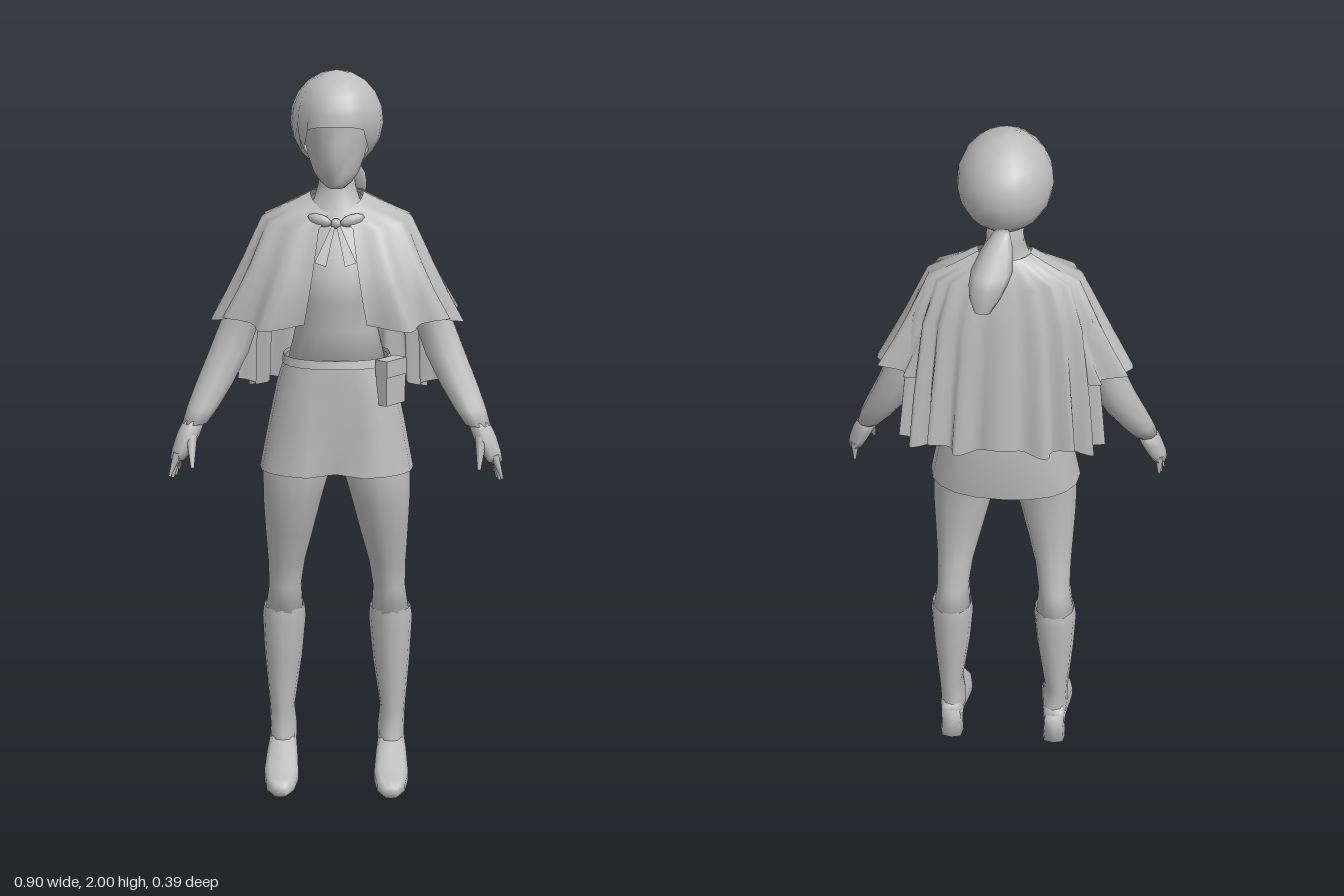
import * as THREE from 'three';

const grey = new THREE.MeshStandardMaterial({ color: 0xbcbcbc, side: THREE.DoubleSide });
grey.name = 'grey';

function named(name, geometry) {
  const m = new THREE.Mesh(geometry, grey);
  m.name = name;
  return m;
}

// Smooth grid surface: f(i, j) gives a point, i runs around and j runs down
function grid(nu, nv, closed, f, capped = false) {
  const pos = [], idx = [], cols = closed ? nu : nu + 1;
  for (let j = 0; j <= nv; j++) for (let i = 0; i < cols; i++) pos.push(...f(i, j));
  for (let j = 0; j < nv; j++) for (let i = 0; i < nu; i++) {
    const k = (i + 1) % cols, a = j * cols + i, b = j * cols + k;
    idx.push(a, a + cols, b, b, a + cols, b + cols);
  }
  if (capped) for (const j of [0, nv]) {
    const c = [0, 0, 0], mid = pos.length / 3;
    for (let i = 0; i < cols; i++) for (let d = 0; d < 3; d++) c[d] += pos[(j * cols + i) * 3 + d] / cols;
    pos.push(...c);
    for (let i = 0; i < nu; i++) {
      const a = j * cols + i, b = j * cols + (i + 1) % cols;
      idx.push(mid, j ? b : a, j ? a : b);
    }
  }
  const g = new THREE.BufferGeometry();
  g.setAttribute('position', new THREE.Float32BufferAttribute(pos, 3));
  g.setIndex(idx);
  g.computeVertexNormals();
  return g;
}

const pw = (v, e) => Math.sign(v) * Math.abs(v) ** e;

// Point on the rounded outline of a row [y, x0, x1, zBack, zFront]
function outline([y, x0, x1, zb, zf], a, e = 1) {
  return [(x0 + x1) / 2 + (x1 - x0) / 2 * pw(Math.sin(a), e), y,
    (zb + zf) / 2 + (zf - zb) / 2 * pw(Math.cos(a), e)];
}

// Closed body through rows listed from top to bottom
function loft(rows, { n = 14, e = 1, cap = true, warp = p => p } = {}) {
  return grid(n, rows.length - 1, true,
    (i, j) => warp(outline(rows[j], i / n * Math.PI * 2, e), i, j), cap);
}

const even = rows => rows.map(([y, r, zb, zf]) => [y, -r, r, zb, zf]);

function cone(a, b, r, tip = 0.3) {
  const p = new THREE.Vector3(...a), q = new THREE.Vector3(...b), d = q.clone().sub(p);
  const g = new THREE.CylinderGeometry(r * tip, r, d.length(), 6);
  g.applyQuaternion(new THREE.Quaternion().setFromUnitVectors(new THREE.Vector3(0, 1, 0), d.normalize()));
  return g.translate(...p.add(q).multiplyScalar(0.5).toArray());
}

// Pleated cloth from the shoulders between two angles; the sides sweep back towards the hem
function drape(rows, from, to, n, { pleats, amp, sweep = 0 }) {
  const last = rows.length - 1, body = even(rows);
  return grid(n, last, false, (i, j) => {
    const a = from + (to - from) * i / n, t = j / last, w = t ** 1.5;
    const [x, y, z] = outline(body[j], a, 0.9 - 0.15 * t);
    const fold = 1 + amp * w * Math.cos(a * pleats);
    const front = Math.max(0, Math.cos(a)) * (1 - t);
    return [x * fold, y - front * 0.04 + w * 0.012 * Math.cos(a * pleats * 0.5),
      z * fold - sweep * t * Math.sin(a) ** 4];
  });
}

function createHead() {
  const head = new THREE.Group();
  head.name = 'head';
  // Face with a raised nose at the front centre
  const face = even([[1.9, 0.09, -0.06, 0.165], [1.86, 0.092, -0.06, 0.168], [1.82, 0.085, -0.05, 0.16],
    [1.78, 0.075, -0.03, 0.162], [1.74, 0.06, 0.01, 0.157], [1.715, 0.042, 0.04, 0.152], [1.7, 0.022, 0.08, 0.14]]);
  head.add(named('face', loft(face, { n: 18, warp: (p, i, j) =>
    i === 0 && (j === 2 || j === 3) ? [p[0], p[1], p[2] + (j === 3 ? 0.022 : 0.008)] : p })));
  // Rounded hair, cut high over the face and low at the nape
  head.add(named('hair', grid(20, 8, true, (i, j) => {
    const a = i / 20 * Math.PI * 2, off = Math.min(a, Math.PI * 2 - a);
    const phi = (1.62 + 0.98 * THREE.MathUtils.smoothstep(off, 0.5, 1.35)) * j / 8;
    return [0.123 * Math.sin(phi) * Math.sin(a), 1.87 + 0.13 * Math.cos(phi), 0.044 + 0.145 * Math.sin(phi) * Math.cos(a)];
  })));
  head.add(named('ponytail', loft([[1.79, -0.02, 0.02, -0.1, -0.06], [1.75, -0.03, 0.05, -0.14, -0.055],
    [1.71, -0.033, 0.073, -0.185, -0.08], [1.68, -0.02, 0.077, -0.197, -0.11], [1.65, -0.005, 0.075, -0.198, -0.135],
    [1.62, 0.02, 0.06, -0.199, -0.185]], { n: 8 })));
  return head;
}

function createArm() {
  const arm = new THREE.Group();
  arm.name = 'arm';
  arm.add(named('sleeve', loft([[1.62, 0.1, 0.18, -0.03, 0.04], [1.56, 0.12, 0.225, -0.045, 0.06],
    [1.43, 0.165, 0.275, -0.04, 0.06], [1.32, 0.21, 0.32, -0.035, 0.06], [1.24, 0.238, 0.352, -0.025, 0.075],
    [1.16, 0.28, 0.385, 0, 0.1], [1.1, 0.318, 0.407, 0.032, 0.12], [1.06, 0.348, 0.418, 0.057, 0.135]], { n: 10 })));
  arm.add(named('palm', loft([[1.07, 0.355, 0.412, 0.06, 0.13], [1.03, 0.368, 0.432, 0.062, 0.15],
    [0.99, 0.39, 0.445, 0.068, 0.158], [0.965, 0.405, 0.45, 0.076, 0.154]], { n: 8 })));
  for (let i = 0; i < 4; i++) {
    const z = 0.085 + i * 0.02;
    arm.add(named('finger', cone([0.427, 0.985, z], [0.43 + 0.006 * i, 0.925 - 0.012 * Math.sin(i), z + 0.004 * i], 0.013)));
  }
  arm.add(named('thumb', cone([0.39, 1.03, 0.13], [0.385, 0.95, 0.17], 0.017)));
  return arm;
}

function createLeg() {
  const leg = new THREE.Group();
  leg.name = 'leg';
  leg.add(named('thigh', loft([[1.04, 0.015, 0.18, -0.06, 0.15], [0.92, 0.018, 0.203, -0.04, 0.152],
    [0.84, 0.04, 0.203, -0.038, 0.138], [0.74, 0.065, 0.198, -0.036, 0.11], [0.65, 0.088, 0.193, -0.045, 0.077],
    [0.57, 0.1, 0.192, -0.07, 0.06], [0.48, 0.095, 0.205, -0.085, 0.052]])));
  leg.add(named('bootShaft', loft([[0.505, 0.092, 0.207, -0.085, 0.054], [0.47, 0.089, 0.212, -0.09, 0.055],
    [0.35, 0.1, 0.206, -0.08, 0.048], [0.2, 0.122, 0.194, -0.067, 0.036], [0.14, 0.115, 0.192, -0.06, 0.042],
    [0.08, 0.117, 0.192, -0.073, 0.06]], { n: 12, cap: false })));
  // Foot rows run along z: z, half width, bottom, top
  const foot = [[0.192, 0.022, 0.004, 0.038], [0.165, 0.04, 0, 0.05], [0.11, 0.05, 0, 0.07],
    [0.05, 0.045, 0.015, 0.115], [-0.02, 0.037, 0.04, 0.15], [-0.066, 0.03, 0.05, 0.12]];
  leg.add(named('foot', grid(10, 5, true, (i, j) => {
    const a = i / 10 * Math.PI * 2, [z, w, b, t] = foot[j];
    return [0.155 + w * pw(Math.sin(a), 0.7), (b + t) / 2 - (t - b) / 2 * pw(Math.cos(a), 0.8), z];
  }, true)));
  leg.add(named('heel', loft([[0.1, 0.118, 0.191, -0.073, 0.02], [0.05, 0.123, 0.187, -0.076, 0],
    [0, 0.12, 0.19, -0.08, -0.005]], { n: 8, e: 0.6 })));
  return leg;
}

function createBow() {
  const bow = new THREE.Group();
  bow.name = 'neckBow';
  bow.add(named('knot', new THREE.SphereGeometry(0.014, 8, 6).translate(0, 1.607, 0.124)));
  for (const s of [-1, 1]) {
    const loop = new THREE.SphereGeometry(1, 8, 6).scale(0.034, 0.016, 0.012).rotateZ(s * 0.25).rotateY(s * 0.25);
    bow.add(named('bowLoop', loop.translate(s * 0.043, 1.615, 0.118)));
    const tail = [[0.002, 1.6, 0.132], [0.012, 1.6, 0.132], [0.025, 1.5, 0.174], [0.055, 1.51, 0.168]];
    bow.add(named('bowTail', grid(1, 1, false, (i, j) => {
      const [x, y, z] = tail[j * 2 + i];
      return [s * x, y, z];
    })));
  }
  return bow;
}

export function createModel() {
  const model = new THREE.Group();
  model.name = 'capedFigure';
  model.add(createHead(), createBow());

  model.add(named('torso', loft(even([[1.78, 0.045, -0.02, 0.08], [1.7, 0.05, -0.022, 0.09], [1.66, 0.062, -0.03, 0.098],
    [1.62, 0.11, -0.04, 0.112], [1.55, 0.135, -0.05, 0.142], [1.47, 0.132, -0.055, 0.176], [1.4, 0.12, -0.05, 0.178],
    [1.32, 0.112, -0.045, 0.162], [1.2, 0.14, -0.06, 0.16]]), { n: 18 })));

  // Shorts with a flared hem and a crease at the front
  const shorts = even([[1.24, 0.14, -0.06, 0.17], [1.17, 0.162, -0.075, 0.182], [1.06, 0.185, -0.09, 0.188],
    [0.93, 0.21, -0.075, 0.197]]);
  model.add(named('shorts', loft(shorts, { n: 20, e: 0.85, cap: false, warp: (p, i, j) =>
    i === 0 ? [p[0], p[1], p[2] - 0.015 * j] : p })));
  model.add(named('pelvis', loft(even([[1.1, 0.17, -0.07, 0.15], [1, 0.18, -0.07, 0.15], [0.94, 0.15, -0.05, 0.12]]))));
  model.add(named('belt', loft(even([[1.248, 0.144, -0.064, 0.174], [1.225, 0.148, -0.068, 0.179]]),
    { n: 20, e: 0.85, cap: false })));

  // Belt pouch with its flap
  const pouch = new THREE.Group();
  pouch.name = 'beltPouch';
  pouch.add(named('pouchBody', new THREE.BoxGeometry(0.08, 0.12, 0.035)));
  const flap = named('pouchFlap', new THREE.BoxGeometry(0.083, 0.045, 0.04));
  flap.position.y = 0.04;
  pouch.add(flap);
  pouch.position.set(0.147, 1.185, 0.132);
  pouch.rotation.y = 0.9;
  model.add(pouch);

  // Longer pleated panel behind the short cape
  model.add(named('backCape', drape([[1.682, 0.07, -0.04, 0.08], [1.655, 0.12, -0.055, 0.08], [1.615, 0.195, -0.07, 0.08],
    [1.5, 0.235, -0.095, 0.075], [1.3, 0.258, -0.115, 0.06], [1.13, 0.27, -0.125, 0.05]],
  1.85, Math.PI * 2 - 1.85, 48, { pleats: 20, amp: 0.08 })));

  for (const s of [1, -1]) {
    const side = new THREE.Group();
    side.name = s > 0 ? 'leftSide' : 'rightSide';
    // Half of the short cape, open at the front
    side.add(named('shoulderCape', drape([[1.68, 0.07, -0.035, 0.1], [1.65, 0.125, -0.05, 0.12], [1.615, 0.2, -0.06, 0.138],
      [1.5, 0.252, -0.08, 0.172], [1.42, 0.288, -0.085, 0.186], [1.34, 0.325, -0.085, 0.184]],
    0.17, 2.5, 28, { pleats: 13, amp: 0.07, sweep: 0.06 })));
    side.add(createArm(), createLeg());
    side.scale.x = s;
    model.add(side);
  }
  return model;
}
